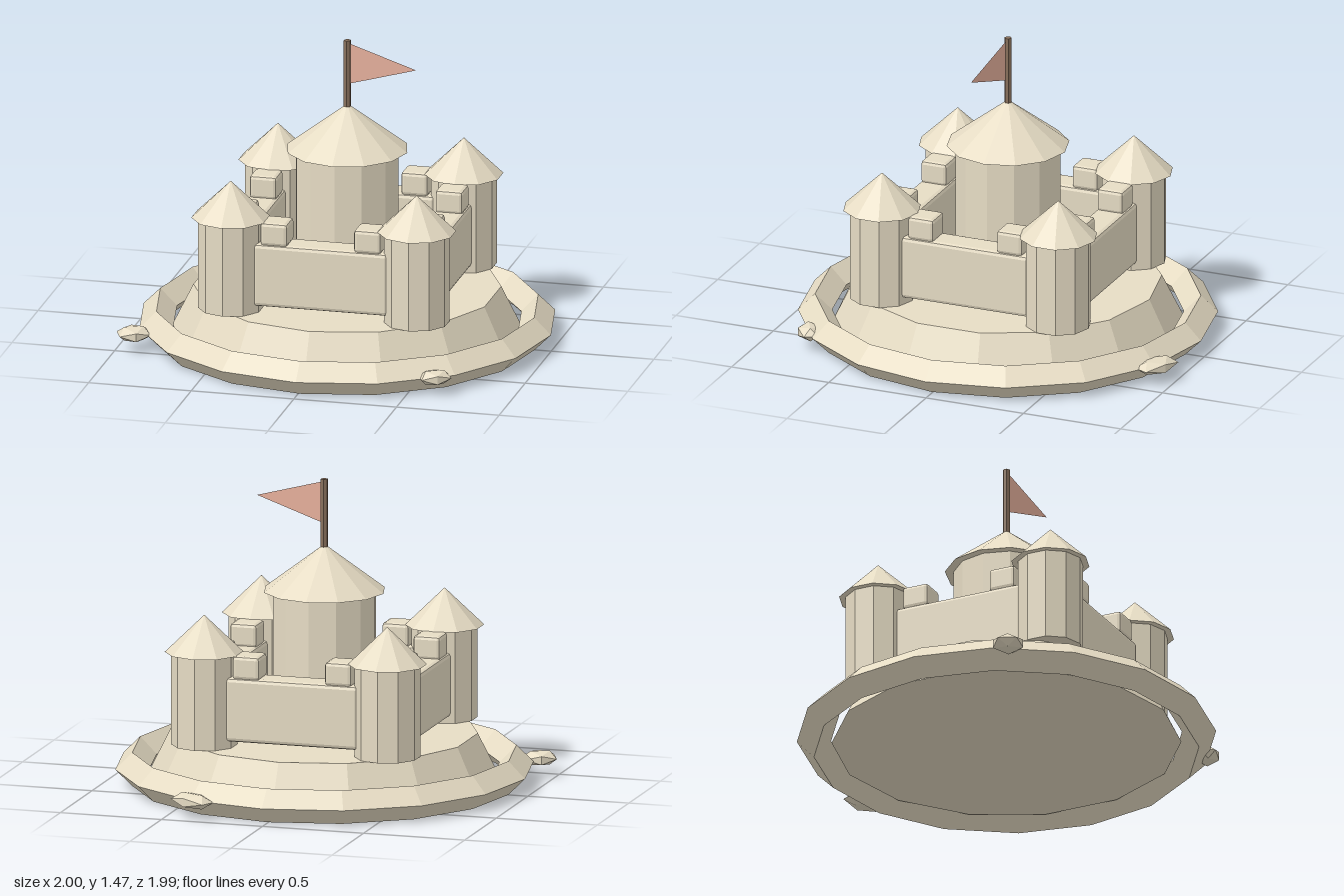
import * as THREE from 'three';
import { RoundedBoxGeometry } from 'three/addons/geometries/RoundedBoxGeometry.js';

function material(name, color, options = {}) {
  const m = new THREE.MeshStandardMaterial({ color, flatShading: true, ...options });
  m.name = name;
  return m;
}

export function createModel() {
  const model = new THREE.Group();
  model.name = 'sandCastle';
  // The castle sits slightly off centre because the pebbles stick out
  const castle = new THREE.Group();
  castle.name = 'castle';
  castle.position.set(0.008, 0, 0.005);
  model.add(castle);

  const sand = material('sand', 0xe6dcc4);
  const wood = material('wood', 0x88705c);
  const cloth = material('flagCloth', 0xe6b09c, { side: THREE.DoubleSide });

  const add = (name, geometry, mat, x = 0, y = 0, z = 0, parent = castle) => {
    const mesh = new THREE.Mesh(geometry, mat);
    mesh.name = name;
    mesh.position.set(x, y, z);
    parent.add(mesh);
    return mesh;
  };

  // Prism, frustum or cone standing between two heights
  const column = (name, rTop, rBottom, y0, y1, sides, mat, parent = castle) =>
    add(name, new THREE.CylinderGeometry(rTop, rBottom, y1 - y0, sides), mat, 0, (y0 + y1) / 2, 0, parent);

  // Low mound, its underside raised inside a diamond-section ring
  column('mound', 0.727, 0.826, 0.05, 0.25, 14, sand);
  const ring = add('moatRing', new THREE.TorusGeometry(0.911, 0.081, 4, 16), sand, 0, 0.081, 0);
  ring.rotation.x = Math.PI / 2;

  // Central keep with its roof
  column('keep', 0.25, 0.25, 0.25, 0.94, 12, sand);
  column('keepRoof', 0, 0.292, 0.93, 1.153, 12, sand);

  // Corner towers
  for (const sx of [-1, 1]) {
    for (const sz of [-1, 1]) {
      const tower = new THREE.Group();
      tower.name = 'cornerTower';
      tower.position.set(sx * 0.453, 0, sz * 0.453);
      castle.add(tower);
      column('towerBody', 0.156, 0.156, 0.25, 0.71, 10, sand, tower);
      column('towerRoof', 0, 0.187, 0.697, 0.876, 10, sand, tower);
    }
  }

  // Four bevelled walls, each with two merlons
  const wallGeometry = new RoundedBoxGeometry(0.662, 0.309, 0.146, 1, 0.019);
  const merlonGeometry = new RoundedBoxGeometry(0.134, 0.114, 0.134, 1, 0.017);
  for (let i = 0; i < 4; i++) {
    const side = new THREE.Group();
    side.name = 'wallSide';
    side.rotation.y = (i * Math.PI) / 2;
    castle.add(side);
    add('wall', wallGeometry, sand, 0, 0.439, 0.453, side);
    for (const s of [-1, 1]) add('merlon', merlonGeometry, sand, s * 0.228, 0.643, 0.453, side);
  }

  // Flagpole and pennant
  column('flagPole', 0.018, 0.018, 1.1, 1.467, 6, wood);
  const pennant = new THREE.BufferGeometry();
  pennant.setAttribute('position', new THREE.Float32BufferAttribute(
    [0.015, 1.452, 0.005, 0.015, 1.255, 0.005, 0.346, 1.358, 0.042], 3));
  pennant.computeVertexNormals();
  add('pennant', pennant, cloth);

  // Flattened pebbles on the ring: x, z, half length, half width, turn
  const pebbles = [
    [-0.923, 0.461, 0.088, 0.084, 0.4],
    [0.618, 0.755, 0.086, 0.064, 0.5],
    [0.367, -0.922, 0.12, 0.073, -0.45],
  ];
  for (const [x, z, a, b, turn] of pebbles) {
    const pebble = add('pebble', new THREE.IcosahedronGeometry(1, 0), sand, x, 0.082, z);
    pebble.scale.set(a, 0.039, b);
    pebble.rotation.y = turn;
  }

  return model;
}
